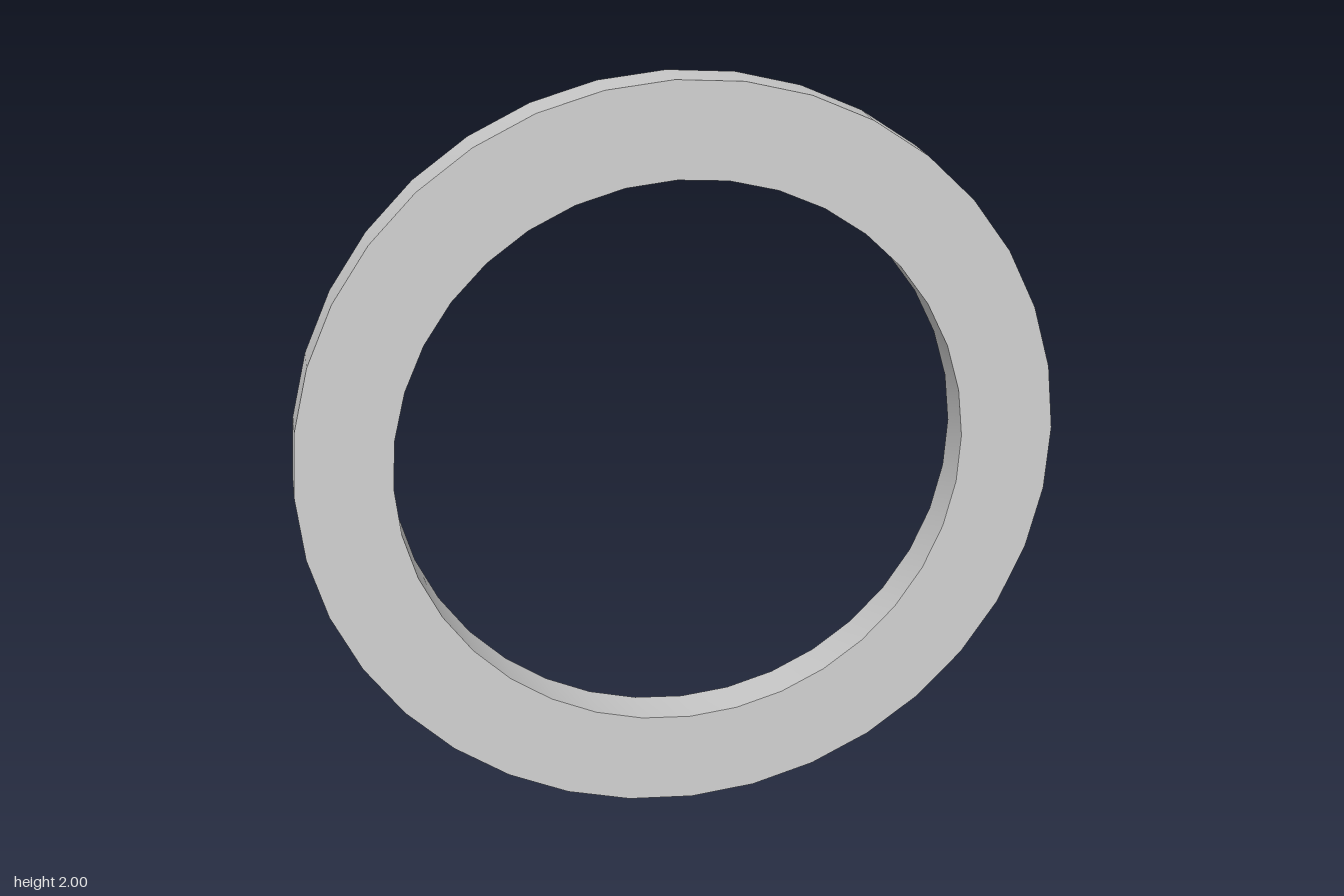
import * as THREE from 'three';
import { toCreasedNormals } from 'three/addons/utils/BufferGeometryUtils.js';

export function createModel() {
  const outer = 1, inner = 0.75, half = 0.06, segments = 36;
  const tilt = THREE.MathUtils.degToRad(6.6);

  // Closed rectangular section, turned around the axis of the ring
  const section = [
    [inner, -half], [outer, -half], [outer, half], [inner, half], [inner, -half],
  ].map(([r, y]) => new THREE.Vector2(r, y));
  const geometry = toCreasedNormals(new THREE.LatheGeometry(section, segments), 0.6);
  geometry.rotateX(Math.PI / 2); // axis to the front

  const ring = new THREE.Mesh(geometry, new THREE.MeshStandardMaterial({ color: 0xcccccc }));
  ring.name = 'ring';
  // Lean the top backwards and rest the lowest edge on the ground
  ring.rotation.x = -tilt;
  ring.position.y = outer * Math.cos(tilt) + half * Math.sin(tilt);

  const model = new THREE.Group();
  model.name = 'tiltedRing';
  model.add(ring);
  return model;
}
